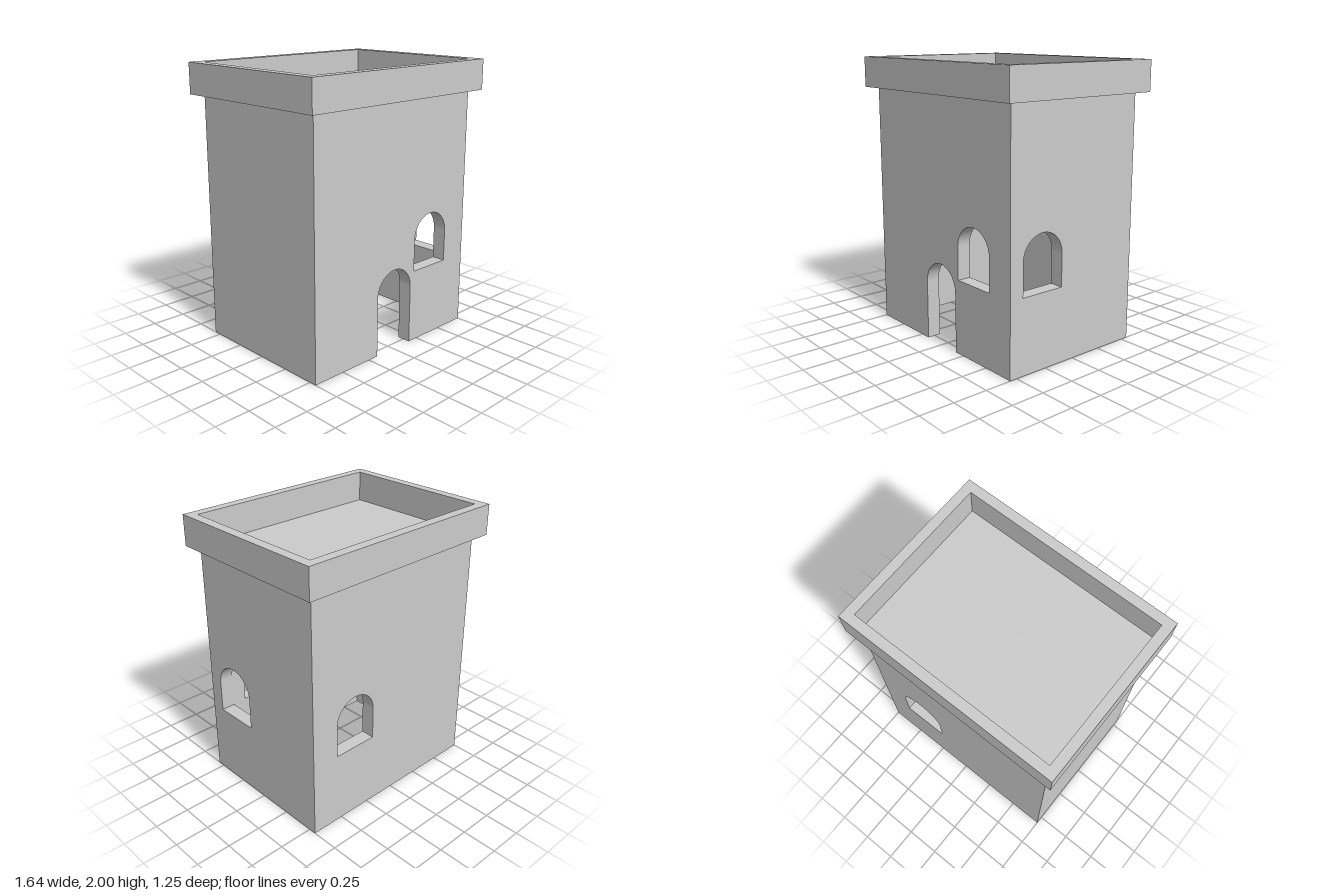
import * as THREE from 'three';

const HX = 0.75, HZ = 0.555; // half width and depth of the tower
const WALL_TOP = 1.78, TOP = 2, T = 0.1, RIM = 0.07;
const R = 0.168; // radius of every arch

const material = new THREE.MeshStandardMaterial({ color: 0xcccccc, flatShading: true });

// Round-headed opening centred on x, from its sill to the crown
function archHole(x, sill, crown) {
  const hole = new THREE.Path();
  hole.moveTo(x - R, sill);
  hole.lineTo(x + R, sill);
  hole.lineTo(x + R, crown - R);
  hole.absarc(x, crown - R, R, 0, Math.PI, false);
  hole.lineTo(x - R, sill);
  return hole;
}

// Upright wall outline, optionally notched by an arched doorway at x = 0
function wallShape(half, doorCrown) {
  const s = new THREE.Shape();
  s.moveTo(-half, 0);
  if (doorCrown) {
    s.lineTo(-R, 0);
    s.lineTo(-R, doorCrown - R);
    s.absarc(0, doorCrown - R, R, Math.PI, 0, true);
    s.lineTo(R, 0);
  }
  s.lineTo(half, 0);
  s.lineTo(half, WALL_TOP);
  s.lineTo(-half, WALL_TOP);
  s.closePath();
  return s;
}

function rectangle(Shape, hx, hz) {
  return new Shape([[-hx, -hz], [hx, -hz], [hx, hz], [-hx, hz]].map(([x, y]) => new THREE.Vector2(x, y)));
}

function extrude(name, shape, depth) {
  const geometry = new THREE.ExtrudeGeometry(shape, { depth, bevelEnabled: false, curveSegments: 20 });
  const mesh = new THREE.Mesh(geometry, material);
  mesh.name = name;
  return mesh;
}

export function createModel() {
  const model = new THREE.Group();
  model.name = 'tower';

  // Front wall with doorway and window
  const frontShape = wallShape(HX, 0.6);
  frontShape.holes.push(archHole(0.372, 0.535, 0.937));
  const front = extrude('frontWall', frontShape, T);
  front.position.z = HZ - T;

  // Back wall with a window opposite the front one
  const backShape = wallShape(HX);
  backShape.holes.push(archHole(0.372, 0.535, 0.937));
  const back = extrude('backWall', backShape, T);
  back.position.z = -HZ;

  // Side walls fit between front and back; the one at +x has a window
  const windowSide = wallShape(HZ - T);
  windowSide.holes.push(archHole(-0.28, 0.535, 0.937));
  const sideA = extrude('windowSideWall', windowSide, T);
  sideA.rotation.y = Math.PI / 2;
  sideA.position.x = HX - T;

  const sideB = extrude('plainSideWall', wallShape(HZ - T), T);
  sideB.rotation.y = Math.PI / 2;
  sideB.position.x = -HX;

  // Flat roof slab inside the wall tops
  const roof = new THREE.Mesh(new THREE.BoxGeometry(2 * (HX - T), T, 2 * (HZ - T)), material);
  roof.name = 'roof';
  roof.position.y = WALL_TOP - T / 2;

  // Overhanging parapet ring
  const ring = rectangle(THREE.Shape, HX + RIM, HZ + RIM);
  ring.holes.push(rectangle(THREE.Path, HX, HZ));
  const parapet = extrude('parapet', ring, TOP - WALL_TOP);
  parapet.rotation.x = -Math.PI / 2;
  parapet.position.y = WALL_TOP;

  model.add(front, back, sideA, sideB, roof, parapet);
  return model;
}
